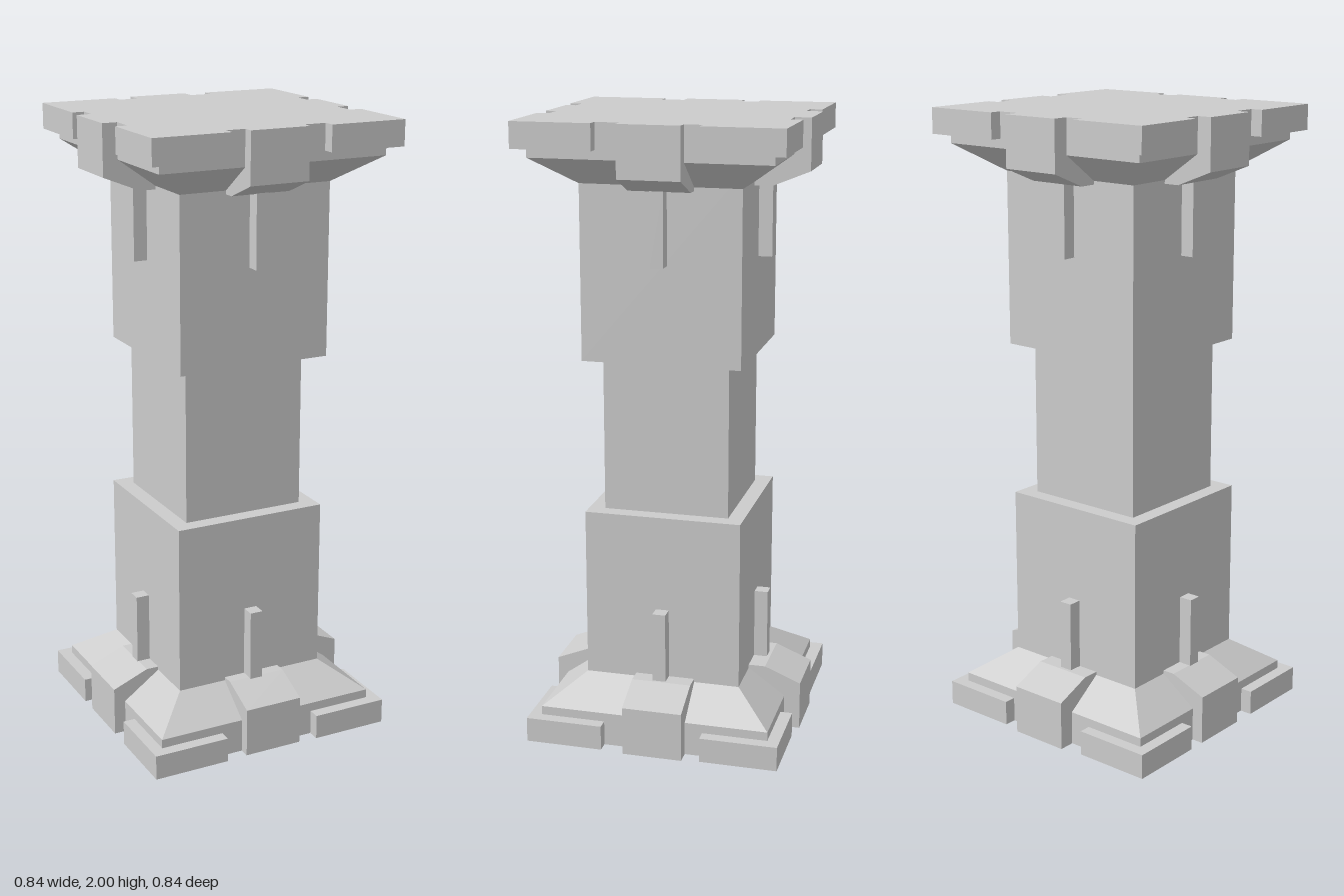
import * as THREE from 'three';

const material = new THREE.MeshStandardMaterial({ color: 0xcccccc, flatShading: true });
const OFF_X = -0.005, OFF_Z = 0.004; // slight off-centre placement of the stonework

function add(parent, name, geometry, x = 0, y = 0, z = 0) {
  const mesh = new THREE.Mesh(geometry, material);
  mesh.name = name;
  mesh.position.set(x, y, z);
  parent.add(mesh);
  return mesh;
}

// Square block given by half width and vertical extent
function squareBlock(parent, name, half, y0, y1) {
  return add(parent, name, new THREE.BoxGeometry(half * 2, y1 - y0, half * 2), OFF_X, (y0 + y1) / 2, OFF_Z);
}

// One end of the pillar, standing on y = 0
function createEnd(name) {
  const end = new THREE.Group();
  end.name = name;

  squareBlock(end, 'shaft', 0.254, 0.15, 0.75);
  squareBlock(end, 'plinth', 0.375, 0, 0.11);

  // Sloped collar between plinth and shaft
  const collar = new THREE.CylinderGeometry(0.254 * Math.SQRT2, 0.375 * Math.SQRT2, 0.087, 4);
  collar.rotateY(Math.PI / 4);
  add(end, 'collar', collar, OFF_X, 0.1535, OFF_Z);

  // Corner pads
  for (const sx of [-1, 1]) for (const sz of [-1, 1]) {
    add(end, 'cornerPad', new THREE.BoxGeometry(0.251, 0.081, 0.251),
      OFF_X + sx * 0.2885, 0.0405, OFF_Z + sz * 0.2885);
  }

  // Buttress with a bevelled top, profile in (outward, up)
  const profile = new THREE.Shape([
    [0.2, 0], [0.418, 0], [0.418, 0.16], [0.3, 0.208], [0.2, 0.208],
  ].map(([x, y]) => new THREE.Vector2(x, y)));
  const buttress = new THREE.ExtrudeGeometry(profile, { depth: 0.194, bevelEnabled: false });
  buttress.translate(0, 0, -0.097);

  // Buttress and slim rib on each of the four sides
  for (let i = 0; i < 4; i++) {
    const angle = i * Math.PI / 2;
    add(end, 'buttress', buttress, 0, 0, -0.005).rotation.y = angle;
    const rib = new THREE.BoxGeometry(0.1, 0.24, 0.043);
    rib.translate(0.248, 0.318, 0);
    add(end, 'rib', rib, OFF_X, 0, OFF_Z).rotation.y = angle;
  }
  return end;
}

export function createModel() {
  const pillar = new THREE.Group();
  pillar.name = 'pillar';

  squareBlock(pillar, 'middleShaft', 0.203, 0.7, 1.3);
  pillar.add(createEnd('base'));

  // The capital is the base turned upside down
  const capital = createEnd('capital');
  capital.rotation.z = Math.PI;
  capital.position.y = 2;
  pillar.add(capital);

  return pillar;
}
